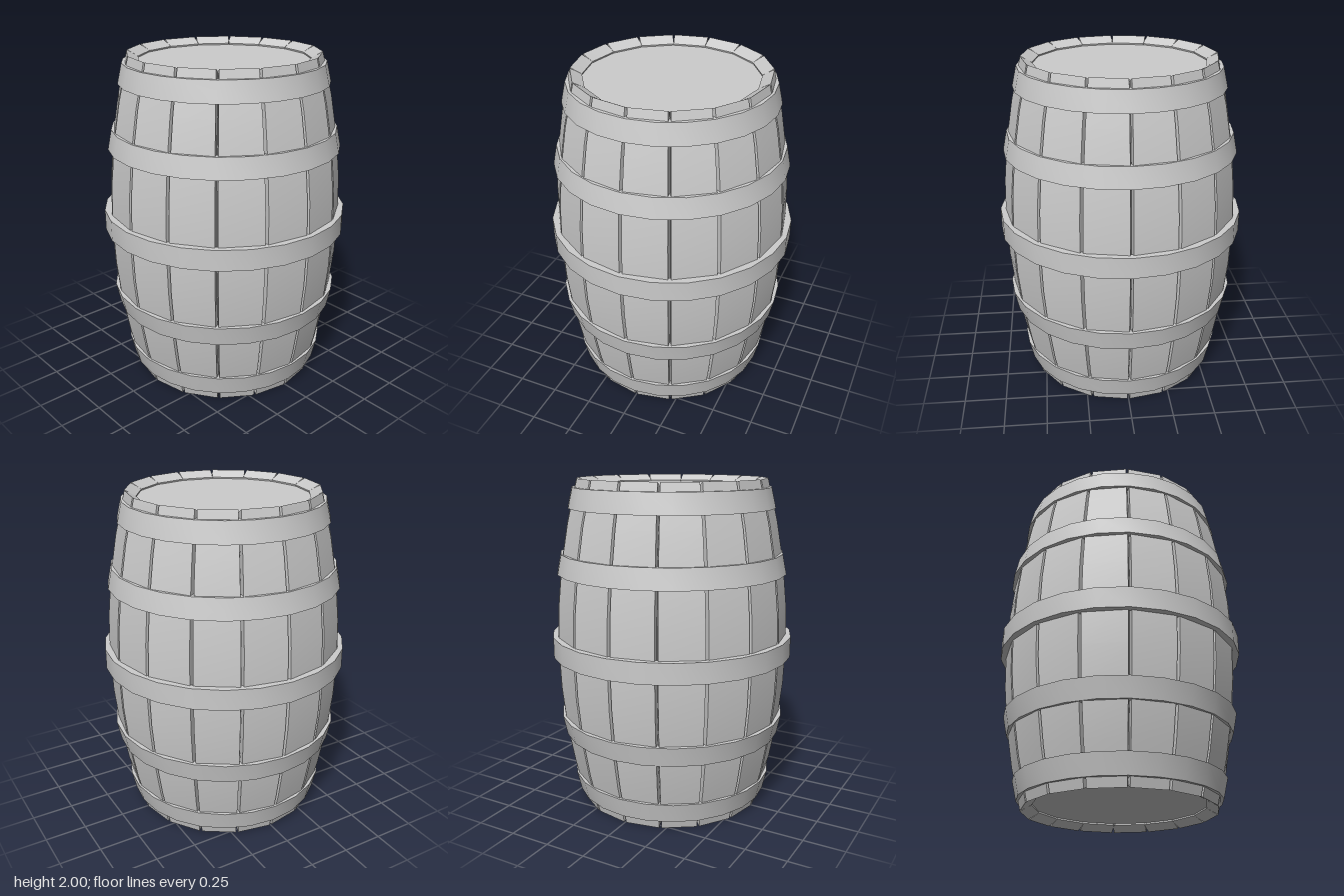
import * as THREE from 'three';
import { toCreasedNormals } from 'three/addons/utils/BufferGeometryUtils.js';

const STAVES = 16, LEVELS = 8, CREASE = 0.37;
const material = new THREE.MeshStandardMaterial({ color: 0xcccccc });

// Outer radius of the bulging wall at height y
const wallRadius = (y) => 0.57 + 0.14 * (1 - (y - 1) ** 2);

function addMesh(parent, name, geometry) {
  const mesh = new THREE.Mesh(geometry, material);
  mesh.name = name;
  parent.add(mesh);
  return mesh;
}

// One bowed plank with bevelled long edges and ends that slope inward
function staveGeometry() {
  const half = Math.PI / STAVES;
  // [side as a fraction of the half angle, depth below the outer face]
  const section = [
    [-0.935, 0], [0.935, 0], [0.99, 0.035], [0.99, 0.065], [-0.99, 0.065], [-0.99, 0.035],
  ];
  const n = section.length, positions = [], index = [];
  for (let i = 0; i <= LEVELS; i++) {
    const y = (2 * i) / LEVELS;
    for (const [side, depth] of section) {
      const r = wallRadius(y) - depth, a = side * half;
      positions.push(r * Math.sin(a), 1 + (y - 1) * (1 - depth * 0.55), r * Math.cos(a));
    }
  }
  for (let i = 0; i < LEVELS; i++) {
    for (let j = 0; j < n; j++) {
      const a = i * n + j, b = i * n + ((j + 1) % n);
      index.push(a, b, b + n, a, b + n, a + n);
    }
  }
  const top = LEVELS * n;
  for (let j = 1; j < n - 1; j++) {
    index.push(0, j + 1, j, top, top + j, top + j + 1);
  }
  const geometry = new THREE.BufferGeometry();
  geometry.setAttribute('position', new THREE.Float32BufferAttribute(positions, 3));
  geometry.setIndex(index);
  return toCreasedNormals(geometry, CREASE);
}

// Closed metal band with a sloping face
function hoopGeometry(y0, r0, y1, r1) {
  const t = 0.045;
  const profile = [[r0, y0], [r1, y1], [r1 - t, y1], [r0 - t, y0], [r0, y0]];
  const lathe = new THREE.LatheGeometry(profile.map(([r, y]) => new THREE.Vector2(r, y)), 24);
  return toCreasedNormals(lathe, CREASE);
}

export function createModel() {
  const barrel = new THREE.Group();
  barrel.name = 'barrel';

  // Ring of staves, with a seam facing straight ahead
  const staves = new THREE.Group();
  staves.name = 'staves';
  barrel.add(staves);
  const stave = staveGeometry();
  for (let i = 0; i < STAVES; i++) {
    addMesh(staves, 'stave', stave).rotation.y = ((i + 0.5) * 2 * Math.PI) / STAVES;
  }

  // Hoops, mirrored about the middle
  addMesh(barrel, 'middleHoop', hoopGeometry(0.94, 0.74, 1.065, 0.74));
  addMesh(barrel, 'upperHoop', hoopGeometry(1.445, 0.7, 1.565, 0.675));
  addMesh(barrel, 'lowerHoop', hoopGeometry(0.44, 0.675, 0.56, 0.7));
  addMesh(barrel, 'topHoop', hoopGeometry(1.83, 0.625, 1.95, 0.597));
  addMesh(barrel, 'bottomHoop', hoopGeometry(0.055, 0.597, 0.175, 0.625));

  // Recessed heads
  for (const [name, y] of [['topHead', 1.935], ['bottomHead', 0.065]]) {
    const head = new THREE.CylinderGeometry(0.525, 0.525, 0.04, STAVES);
    addMesh(barrel, name, head).position.y = y;
  }
  return barrel;
}
